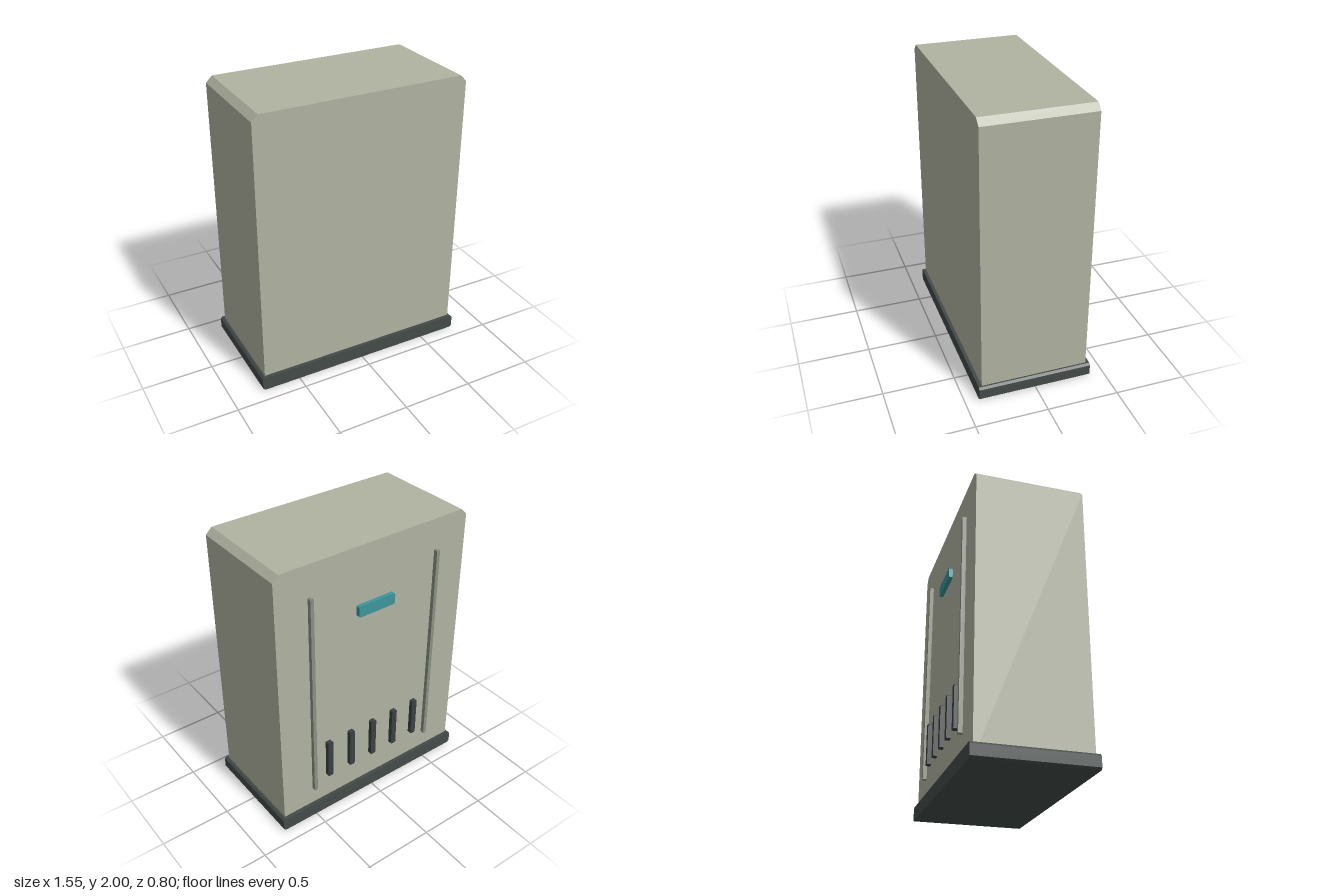
import * as THREE from 'three';

const COLORS = { shell: 0xb0b3a1, dark: 0x434b48, vent: 0x3a4140, rail: 0x8a9082, teal: 0x3c969c };

// Rectangular outline with cut corners (bottom and top cuts), extruded from z0 to z1
function chamferedBlock(name, color, x, w, y0, y1, z0, z1, cutBottom, cutTop) {
  const h = w / 2, b = cutBottom, t = cutTop;
  const points = [[-h + b, y0], [h - b, y0]];
  if (b) points.push([h, y0 + b]);
  if (t) points.push([h, y1 - t]);
  else points.push([h, y1]);
  points.push([h - t, y1], [-h + t, y1]);
  if (t) points.push([-h, y1 - t]);
  if (b) points.push([-h, y0 + b]);
  const shape = new THREE.Shape(points.map(([px, py]) => new THREE.Vector2(px, py)));
  const geometry = new THREE.ExtrudeGeometry(shape, { depth: z1 - z0, bevelEnabled: false });
  geometry.translate(x, 0, z0);
  const mesh = new THREE.Mesh(geometry, new THREE.MeshStandardMaterial({ color, flatShading: true }));
  mesh.name = name;
  return mesh;
}

export function createModel() {
  const model = new THREE.Group();
  model.name = 'cabinet';
  const back = -0.372;

  // Cabinet shell with cut top corners, standing in a dark plinth
  model.add(chamferedBlock('shell', COLORS.shell, 0, 1.5, 0.002, 2, back, 0.378, 0, 0.043));
  model.add(chamferedBlock('plinth', COLORS.dark, 0, 1.55, 0, 0.1, -0.397, 0.402, 0.014, 0.014));

  // Raised vertical rails on the back
  for (const side of [-1, 1]) {
    model.add(chamferedBlock('rail', COLORS.rail, side * 0.5, 0.026, 0.23, 1.78, back - 0.01, back, 0.006, 0.006));
    const rail = model.children[model.children.length - 1];
    rail.geometry.scale(1, 1, 2.8).translate(0, 0, -1.8 * back);
  }

  // Row of vent bars low on the back
  for (let i = -2; i <= 2; i++) {
    model.add(chamferedBlock('ventBar', COLORS.vent, i * 0.1875, 0.042, 0.3, 0.6, -0.402, back, 0.006, 0.006));
  }

  // Teal badge plate
  model.add(chamferedBlock('plate', COLORS.teal, 0, 0.29, 1.51, 1.59, -0.4, back, 0.008, 0.008));
  return model;
}
